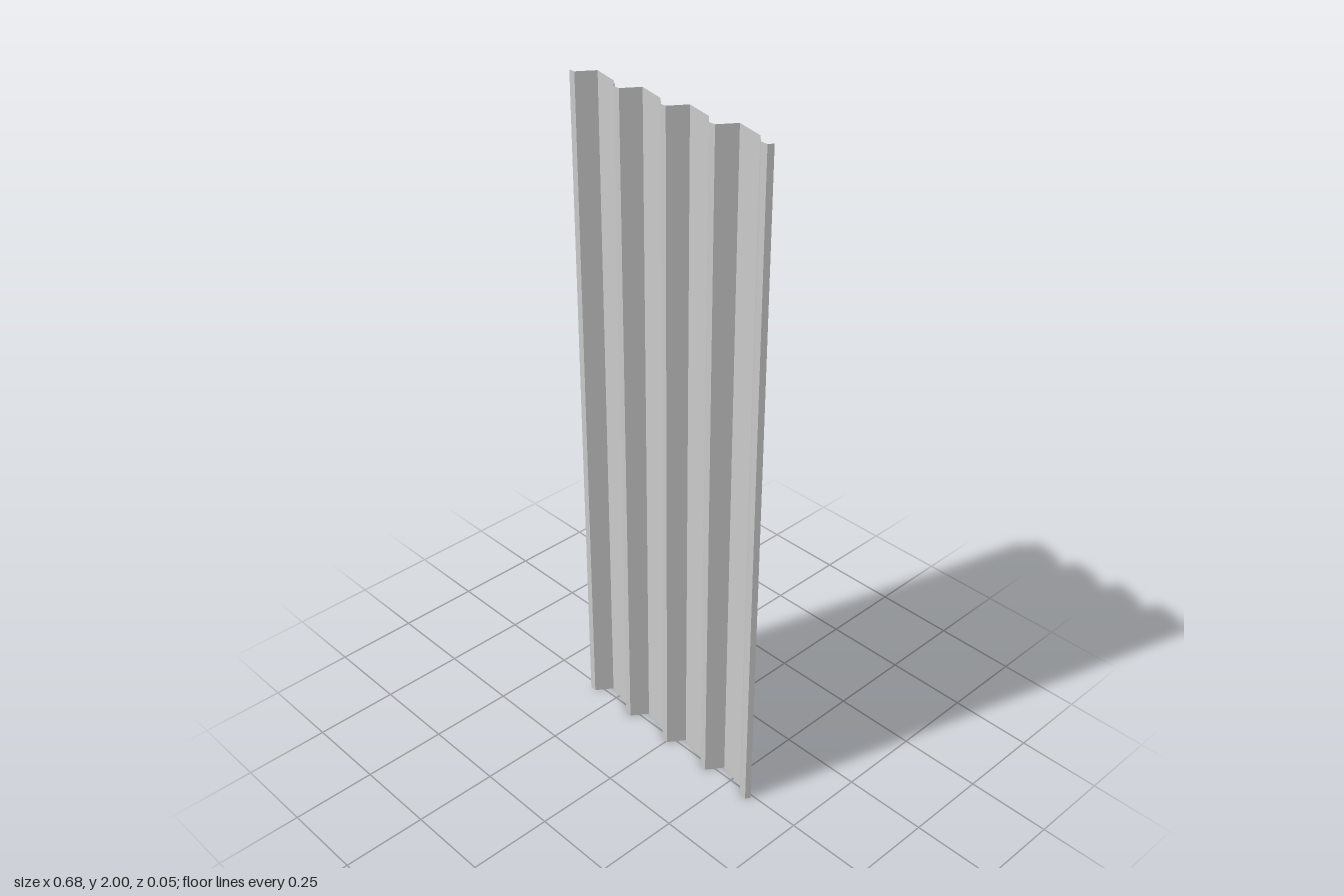
import * as THREE from 'three';

const HEIGHT = 2, PITCH = 0.163, RIBS = 4, DEPTH = 0.0235;

// One rib of the cross-section: [x offset, z]
const RIB = [[0, DEPTH], [0.019, DEPTH], [0.052, -DEPTH], [0.136, -0.003]];

function sheetProfile() {
  const points = [];
  for (let i = 0; i < RIBS; i++) {
    for (const [x, z] of RIB) points.push([-0.341 + i * PITCH + x, z]);
  }
  // Last valley and the short overlap lip
  points.push([0.311, DEPTH], [0.331, DEPTH], [0.34, 0.01]);
  return points;
}

// Sweeps an open profile straight up as a sheet with sharp folds
function foldedSheet(profile, height) {
  const positions = [];
  for (let i = 0; i < profile.length - 1; i++) {
    const [x0, z0] = profile[i], [x1, z1] = profile[i + 1];
    positions.push(x0, 0, z0, x1, 0, z1, x1, height, z1);
    positions.push(x0, 0, z0, x1, height, z1, x0, height, z0);
  }
  const geometry = new THREE.BufferGeometry();
  geometry.setAttribute('position', new THREE.Float32BufferAttribute(positions, 3));
  geometry.computeVertexNormals();
  return geometry;
}

export function createModel() {
  const group = new THREE.Group();
  group.name = 'corrugatedPanel';
  const material = new THREE.MeshStandardMaterial({
    color: 0xcccccc, flatShading: true, side: THREE.DoubleSide,
  });
  const sheet = new THREE.Mesh(foldedSheet(sheetProfile(), HEIGHT), material);
  sheet.name = 'corrugatedSheet';
  group.add(sheet);
  return group;
}
